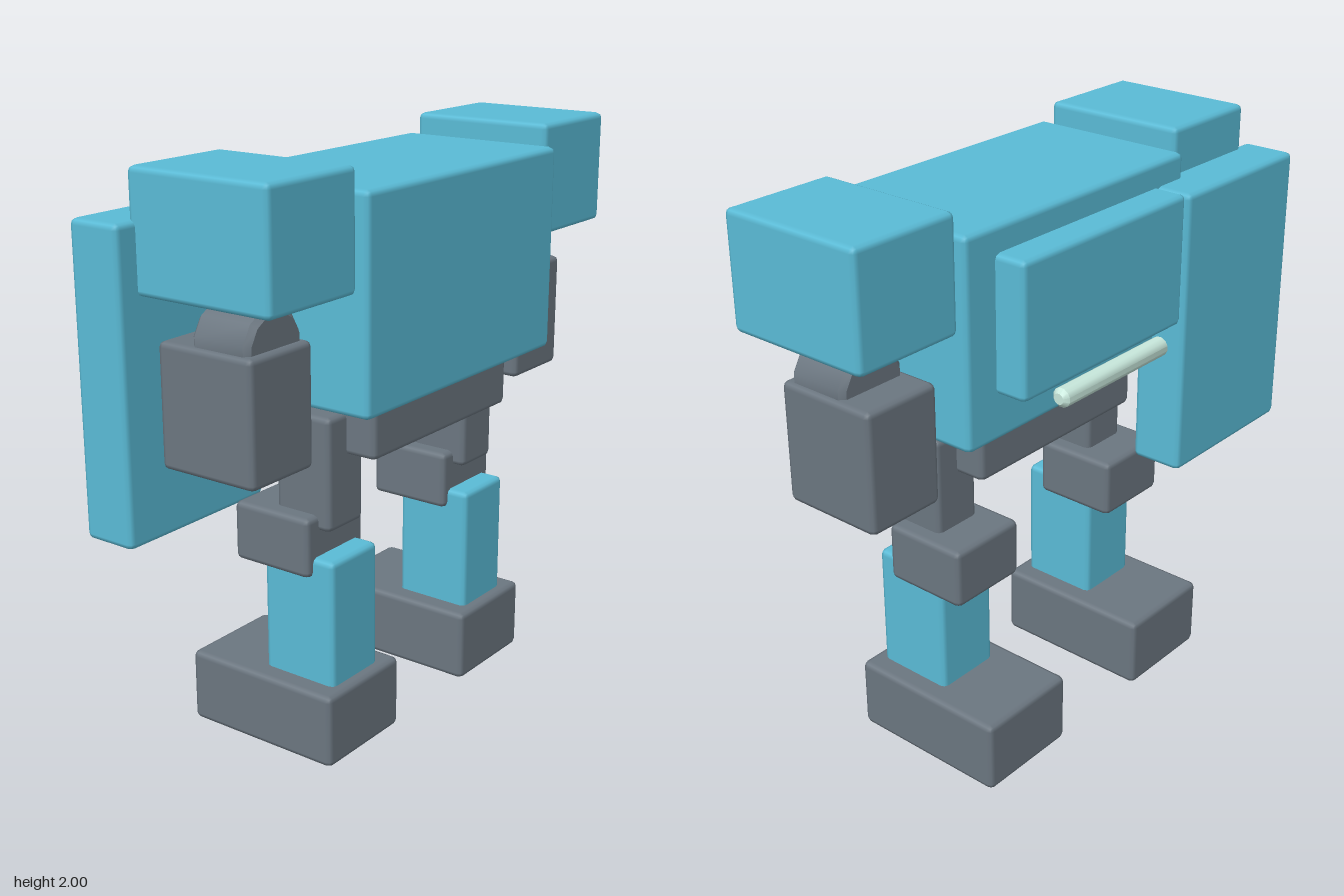
import * as THREE from 'three';
import { RoundedBoxGeometry } from 'three/addons/geometries/RoundedBoxGeometry.js';
import { toCreasedNormals } from 'three/addons/utils/BufferGeometryUtils.js';

const blue = new THREE.MeshStandardMaterial({ name: 'blue armour', color: 0x5abbd6 });
const grey = new THREE.MeshStandardMaterial({ name: 'grey frame', color: 0x6b7680 });
const mint = new THREE.MeshStandardMaterial({ name: 'pale mint', color: 0xc8e8dc });

// Block with softened edges, given by its extents on each axis
function block(name, material, [x0, x1], [y0, y1], [z0, z1], bevel = 0.02) {
  const mesh = new THREE.Mesh(
    new RoundedBoxGeometry(x1 - x0, y1 - y0, z1 - z0, 1, bevel), material);
  mesh.name = name;
  mesh.position.set((x0 + x1) / 2, (y0 + y1) / 2, (z0 + z1) / 2);
  return mesh;
}

// Cylinder with chamfered ends, standing along y and centred on the origin
function chamferedRod(radius, length, bevel, sides) {
  const h = length / 2;
  const profile = [
    [0, -h], [radius - bevel, -h], [radius, -h + bevel],
    [radius, h - bevel], [radius - bevel, h], [0, h],
  ].map(([x, y]) => new THREE.Vector2(x, y));
  return toCreasedNormals(new THREE.LatheGeometry(profile, sides, Math.PI / sides), 0.6);
}

// Shoulder, joint and forearm around a local x = 0
function buildArm(name) {
  const arm = new THREE.Group();
  arm.name = name;
  arm.add(block('shoulder', blue, [-0.204, 0.204], [1.61, 2], [-0.19, 0.345]));
  const joint = new THREE.Mesh(chamferedRod(0.133, 0.225, 0.018, 12).rotateX(Math.PI / 2), grey);
  joint.name = 'elbowJoint';
  joint.position.set(0, 1.463, 0.083);
  arm.add(joint);
  arm.add(block('forearm', grey, [-0.146, 0.146], [1.055, 1.467], [-0.15, 0.22]));
  return arm;
}

// Thigh, knee, shin and foot around a local x = 0
function buildLeg(name) {
  const leg = new THREE.Group();
  leg.name = name;
  leg.add(
    block('thigh', grey, [-0.092, 0.092], [0.785, 1.175], [-0.03, 0.19]),
    block('knee', grey, [-0.15, 0.15], [0.633, 0.84], [-0.165, 0.145]),
    block('shin', blue, [-0.123, 0.123], [0.22, 0.7], [-0.062, 0.225]),
    block('foot', grey, [-0.195, 0.195], [0, 0.258], [-0.335, 0.265]),
  );
  return leg;
}

export function createModel() {
  const model = new THREE.Group();
  model.name = 'robot';
  const midX = 0.0375; // body centre line, offset by the shield on one side

  // Body
  model.add(
    block('torso', blue, [-0.505, 0.58], [1.22, 1.927], [-0.225, 0.387]),
    block('waist', grey, [-0.355, 0.43], [1.03, 1.26], [-0.14, 0.302]),
    block('backpack', blue, [-0.37, 0.45], [1.38, 1.84], [-0.337, -0.18]),
    block('shield', blue, [-0.99, -0.36], [0.82, 1.84], [-0.355, -0.16]),
  );

  // Rod carried across the backpack
  const rod = new THREE.Mesh(chamferedRod(0.034, 0.545, 0.015, 12).rotateZ(Math.PI / 2), mint);
  rod.name = 'rod';
  rod.position.set(midX, 1.355, -0.356);
  model.add(rod);

  // Limbs
  for (const [side, s] of [['right', -1], ['left', 1]]) {
    const arm = buildArm(side + 'Arm');
    arm.position.x = midX + s * 0.743;
    const leg = buildLeg(side + 'Leg');
    leg.position.x = midX + s * 0.393;
    model.add(arm, leg);
  }
  return model;
}
